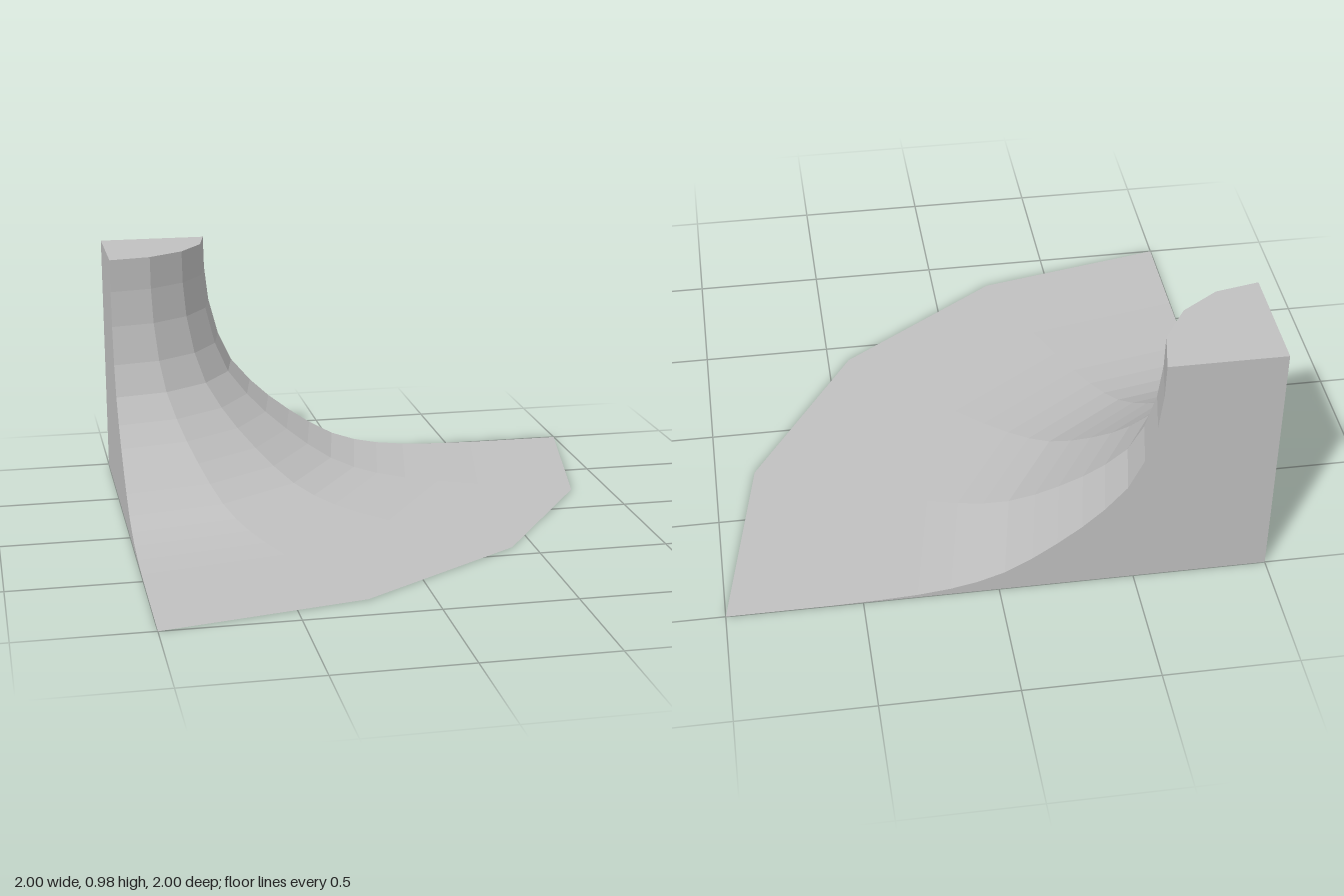
import * as THREE from 'three';

export function createModel() {
  const group = new THREE.Group();
  const grey = new THREE.MeshStandardMaterial({
    color: 0xc0c0c0, flatShading: true, side: THREE.DoubleSide,
  });
  grey.name = 'plain grey';

  const SEGMENTS = 4, QUARTER = Math.PI / 2;

  // Flared profile (radius, height) from the floor rim up to the neck
  const profile = [
    [2, 0], [1.61, 0.001], [1.44, 0.005], [1.3, 0.012], [1.18, 0.026],
    [1.08, 0.047], [0.98, 0.082], [0.88, 0.138], [0.79, 0.2], [0.7, 0.27],
    [0.62, 0.345], [0.54, 0.44], [0.485, 0.56], [0.447, 0.71],
    [0.432, 0.85], [0.43, 0.98],
  ].map(([r, y]) => new THREE.Vector2(r, y));
  const top = profile[profile.length - 1];

  // All parts share the corner axis at x = -1, z = -1
  const add = (name, geometry, y = 0) => {
    const mesh = new THREE.Mesh(geometry, grey);
    mesh.name = name;
    mesh.position.set(-1, y, -1);
    group.add(mesh);
  };

  // Quarter-turn flared skin, open underneath
  add('flaredSkin', new THREE.LatheGeometry(profile, SEGMENTS, 0, QUARTER));

  // Flat top of the neck
  add('topCap', new THREE.CircleGeometry(top.x, SEGMENTS, -QUARTER, QUARTER).rotateX(-QUARTER), top.y);

  // Upright walls closing the two cut sides; sign sets the side of the axis
  const wall = (sign) => new THREE.ShapeGeometry(new THREE.Shape([
    new THREE.Vector2(0, 0),
    ...profile.map((p) => new THREE.Vector2(sign * p.x, p.y)),
    new THREE.Vector2(0, top.y),
  ]));
  add('backWall', wall(-1).rotateY(Math.PI));
  add('sideWall', wall(1).rotateY(-QUARTER));

  return group;
}
